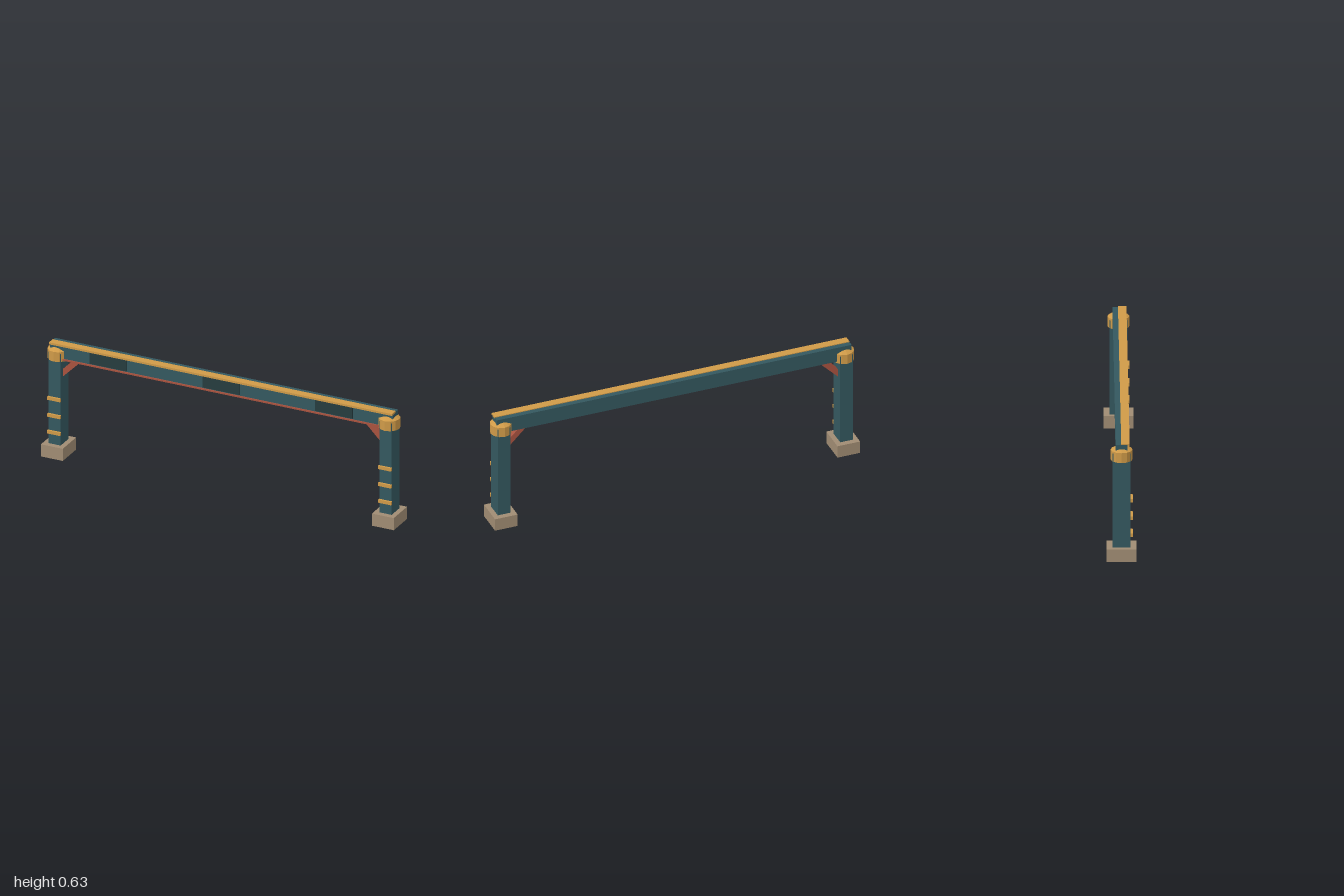
import * as THREE from 'three';

const material = (name, color) => {
  const m = new THREE.MeshStandardMaterial({ color });
  m.name = name;
  return m;
};

export function createModel() {
  const teal = material('teal paint', 0x34585f);
  const dark = material('dark panel', 0x263c3f);
  const gold = material('ochre trim', 0xcf9a48);
  const red = material('rust red', 0xa9533f);
  const stone = material('stone', 0xa08c73);

  const model = new THREE.Group();
  model.name = 'beamGateway';

  const box = (parent, name, mat, size, pos) => {
    const mesh = new THREE.Mesh(new THREE.BoxGeometry(...size), mat);
    mesh.name = name;
    mesh.position.set(...pos);
    parent.add(mesh);
    return mesh;
  };

  // Posts, mirrored left and right
  for (const side of [-1, 1]) {
    const post = new THREE.Group();
    post.name = side > 0 ? 'leftPost' : 'rightPost';
    post.position.x = side * 0.938;
    model.add(post);

    box(post, 'footing', stone, [0.124, 0.068, 0.153], [0, 0.034, 0]);
    box(post, 'column', teal, [0.07, 0.512, 0.092], [0, 0.324, 0]);
    for (const y of [0.135, 0.229, 0.324])
      box(post, 'band', gold, [0.074, 0.018, 0.012], [0, y, 0.051]);

    // Twelve-sided collar with a sloping roof
    const profile = [[0, 0.536], [0.056, 0.536], [0.056, 0.59], [0, 0.624]]
      .map(([r, y]) => new THREE.Vector2(r, y));
    const capGeometry = new THREE.LatheGeometry(profile, 12).toNonIndexed();
    capGeometry.computeVertexNormals();
    const cap = new THREE.Mesh(capGeometry, gold);
    cap.name = 'collar';
    post.add(cap);

    // Diagonal brace between column and beam
    const brace = box(post, 'brace', red, [0.145, 0.03, 0.034], [-side * 0.074, 0.505, 0]);
    brace.rotation.z = -side * Math.PI / 4;
  }

  // Crossbeam with its trim
  box(model, 'beam', teal, [1.944, 0.082, 0.06], [0, 0.586, 0]);
  box(model, 'topRail', gold, [1.944, 0.011, 0.043], [0, 0.6255, 0.0195]);
  box(model, 'lowerStrip', red, [1.8, 0.009, 0.008], [0, 0.5455, 0.032]);
  for (const x of [-0.64, 0, 0.64])
    box(model, 'panel', dark, [0.21, 0.064, 0.008], [x, 0.588, 0.033]);

  return model;
}
